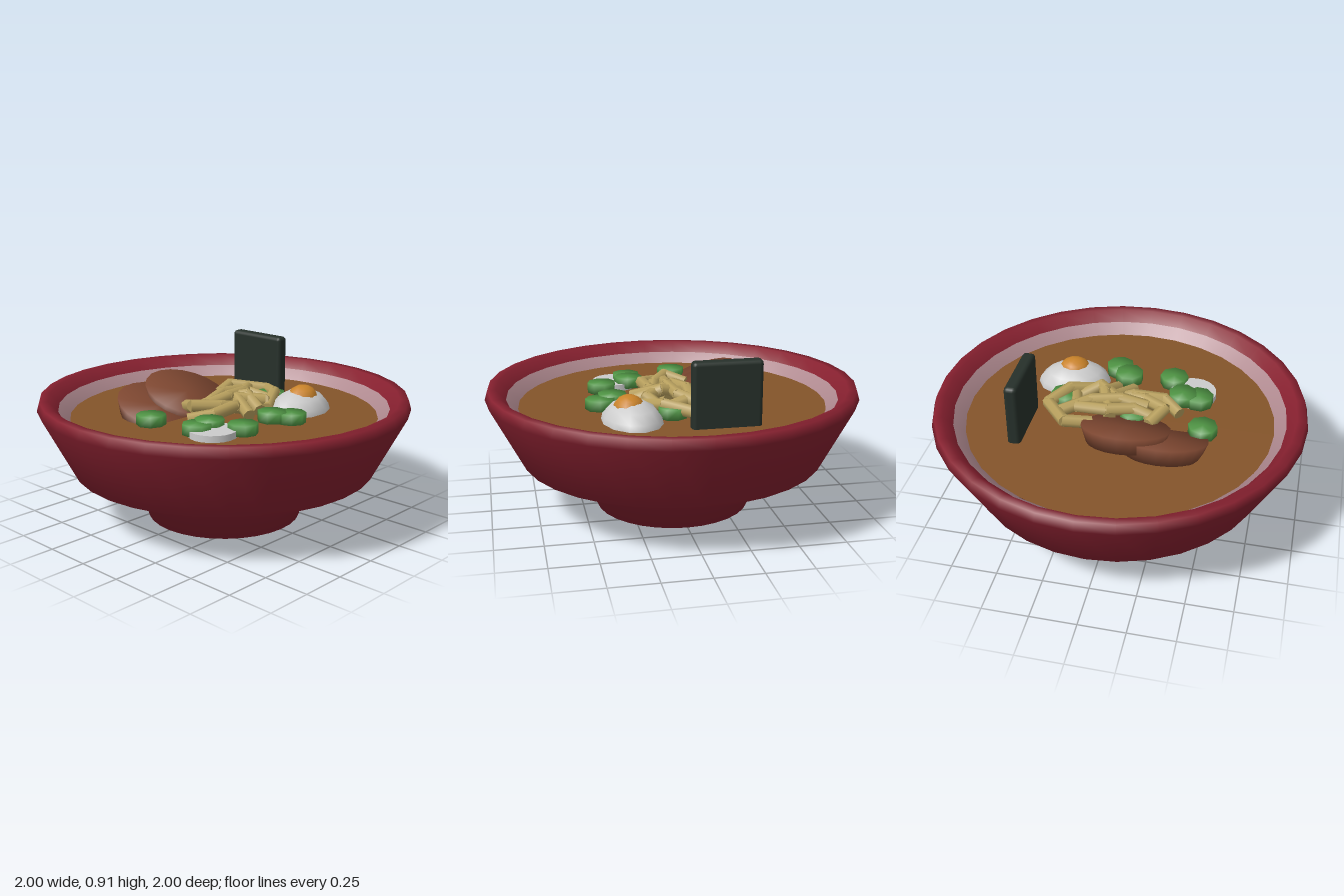
import * as THREE from 'three';
import { mergeVertices } from 'three/addons/utils/BufferGeometryUtils.js';
import { RoundedBoxGeometry } from 'three/addons/geometries/RoundedBoxGeometry.js';

const SOUP_Y = 0.57;

function mat(color, extra = {}) {
  return new THREE.MeshStandardMaterial({ color, ...extra });
}

// Weld every corner so the shading rolls softly over the edges
function soften(geometry) {
  geometry.deleteAttribute('normal');
  geometry.deleteAttribute('uv');
  const g = mergeVertices(geometry, 1e-4);
  g.computeVertexNormals();
  return g;
}

function lathe(profile, sides = 32) {
  return new THREE.LatheGeometry(profile.map(([r, y]) => new THREE.Vector2(r, y)), sides);
}

export function createModel() {
  const model = new THREE.Group();

  function add(name, geometry, material, x = 0, y = 0, z = 0, parent = model) {
    const mesh = new THREE.Mesh(geometry, material);
    mesh.name = name;
    mesh.position.set(x, y, z);
    parent.add(mesh);
    return mesh;
  }

  // Bowl: foot, flared body, rounded lip and inner wall
  const red = mat(0x86202f, { side: THREE.DoubleSide });
  add('bowl', lathe([
    [0, 0], [0.42, 0], [0.45, 0.11], [0.82, 0.28], [1.0, 0.63],
    [0.985, 0.68], [0.94, 0.68], [0.89, 0.625],
  ]), red);
  add('bowlInnerWall', lathe([[0.89, 0.625], [0.83, SOUP_Y], [0.78, 0.5]]),
    mat(0xb08a90, { side: THREE.DoubleSide }));

  // Soup
  add('soup', new THREE.CylinderGeometry(0.835, 0.81, 0.03, 24), mat(0x84542a), 0, SOUP_Y - 0.015, 0);

  // Two overlapping meat slices, raised at the back
  const meat = mat(0x7c4630);
  const sliceGeo = soften(new THREE.CylinderGeometry(0.235, 0.2, 0.09, 20));
  [[-0.275, 0.58], [-0.075, 0.618]].forEach(([x, y]) => {
    add('meatSlice', sliceGeo, meat, x, y, -0.225).rotation.x = 0.36;
  });

  // Seaweed sheet standing in the soup
  add('seaweed', new RoundedBoxGeometry(0.07, 0.46, 0.36, 2, 0.022), mat(0x26302a), 0.49, 0.68, -0.18);

  // Half egg with yolk
  const egg = new THREE.Group();
  egg.name = 'egg';
  egg.position.set(0.32, SOUP_Y - 0.02, 0.27);
  egg.rotation.y = 0.2;
  model.add(egg);
  add('eggWhite', new THREE.SphereGeometry(1, 12, 8), mat(0xdcdcdc), 0, 0, 0, egg).scale.set(0.21, 0.135, 0.158);
  add('eggYolk', new THREE.SphereGeometry(1, 10, 8), mat(0xc9832a), 0, 0.09, 0.015, egg).scale.set(0.092, 0.07, 0.082);

  // Fish cake disc
  add('fishCake', new THREE.CylinderGeometry(0.125, 0.125, 0.08, 20), mat(0xcccccc), -0.36, 0.565, 0.265);

  // Spring onion rounds
  const onion = mat(0x4f9444);
  const onionGeo = soften(new THREE.CylinderGeometry(0.078, 0.078, 0.055, 8));
  [
    [-0.46, -0.08], [-0.4, 0.195], [-0.31, 0.195], [-0.235, 0.357],
    [0.017, 0.33], [0.085, 0.405], [0.32, 0.06], [-0.08, -0.02],
  ].forEach(([x, z], i) => {
    add('springOnion', onionGeo, onion, x, 0.608 - (i % 2) * 0.006, z).rotation.y = i * 0.3;
  });

  // Noodles: kinked strands made of short straight lengths
  const noodleMat = mat(0xb8a05e);
  const up = new THREE.Vector3(0, 1, 0);
  const strands = [
    [[0.13, 0.62, -0.16], [0.26, 0.64, -0.2], [0.39, 0.62, -0.03], [0.3, 0.64, 0.1], [0.14, 0.6, 0.19]],
    [[-0.31, 0.6, 0.05], [-0.22, 0.62, 0.13], [-0.05, 0.63, 0.12], [0.1, 0.61, 0.05]],
    [[-0.18, 0.62, -0.1], [-0.24, 0.65, 0.0], [-0.12, 0.64, 0.08], [0.02, 0.61, 0.12]],
    [[-0.2, 0.61, -0.04], [-0.08, 0.64, -0.02], [0.06, 0.65, -0.07], [0.22, 0.64, -0.06], [0.26, 0.61, 0.08]],
    [[-0.03, 0.6, 0.21], [0.04, 0.65, 0.06], [0.14, 0.64, 0.16], [0.24, 0.6, 0.1]],
    [[0.04, 0.62, -0.08], [0.1, 0.66, 0.08], [0.06, 0.61, 0.2]],
    [[-0.14, 0.64, 0.02], [0.0, 0.66, 0.03], [0.16, 0.65, 0.0], [0.3, 0.63, -0.1]],
  ];
  strands.forEach((points) => {
    const noodle = new THREE.Group();
    noodle.name = 'noodle';
    model.add(noodle);
    const p = points.map((c) => new THREE.Vector3(...c));
    for (let i = 0; i + 1 < p.length; i++) {
      const dir = p[i + 1].clone().sub(p[i]);
      const mid = p[i].clone().add(p[i + 1]).multiplyScalar(0.5);
      const geo = new THREE.CylinderGeometry(0.034, 0.034, dir.length() + 0.02, 7);
      add('noodleLength', geo, noodleMat, mid.x, mid.y, mid.z, noodle)
        .quaternion.setFromUnitVectors(up, dir.normalize());
    }
  });

  return model;
}
